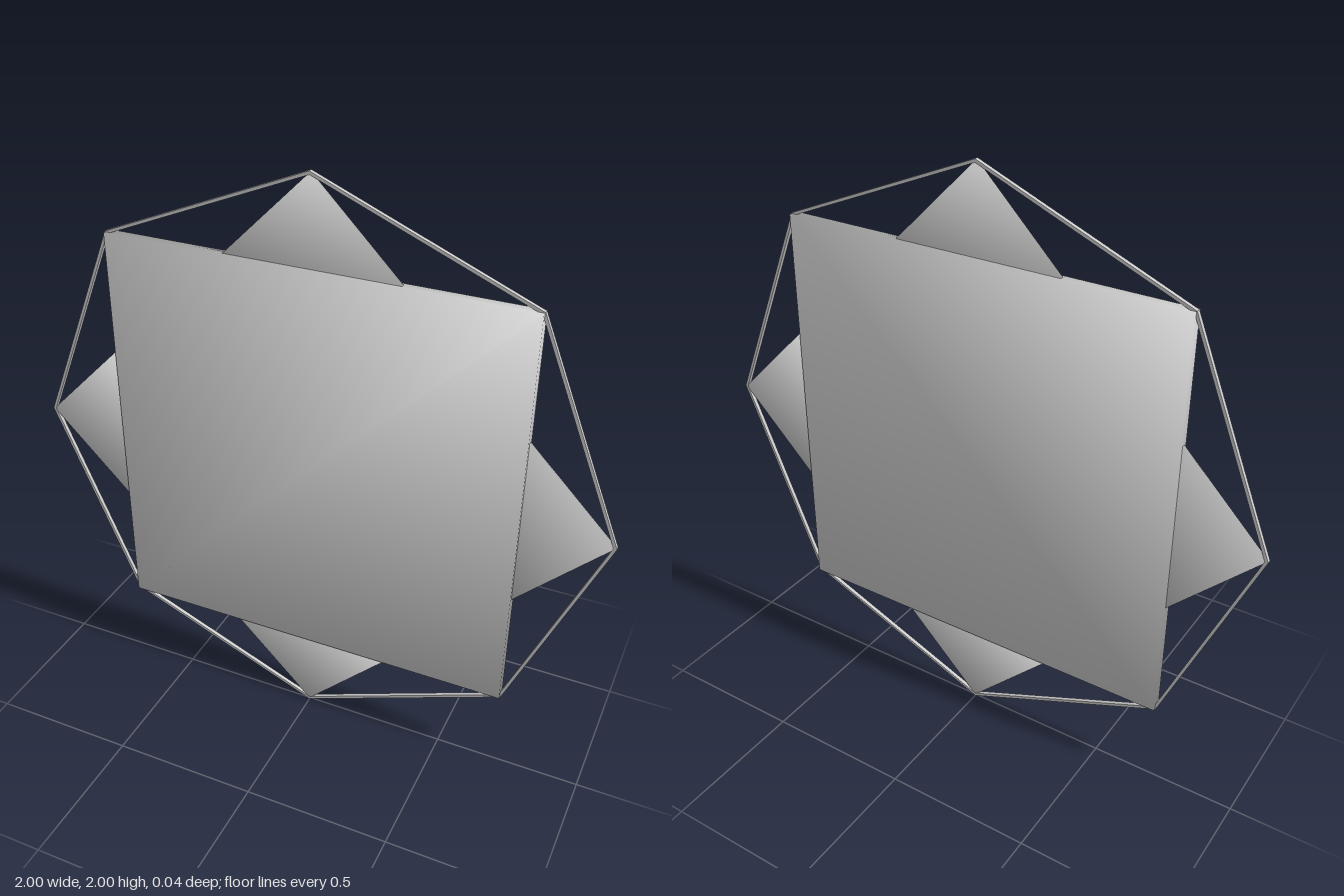
import * as THREE from 'three';

const material = new THREE.MeshStandardMaterial({ color: 0xcccccc });

// Flat slab centred on z = 0
function slab(shape, depth) {
  const geometry = new THREE.ExtrudeGeometry(shape, { depth, bevelEnabled: false });
  return geometry.translate(0, 0, -depth / 2);
}

// Slab from a counter-clockwise outline, with normals blended over the faces at each corner
function softSlab(points, depth) {
  const geometry = slab(new THREE.Shape(points), depth);
  const count = points.length;
  const corners = points.map((p, i) => {
    const a = p.clone().sub(points[(i + count - 1) % count]).normalize();
    const b = points[(i + 1) % count].clone().sub(p).normalize();
    const capWeight = (Math.PI - Math.acos(a.dot(b))) / (Math.PI / 2);
    return new THREE.Vector3(a.y + b.y, -a.x - b.x, capWeight).normalize();
  });
  const { position, normal } = geometry.attributes;
  for (let i = 0; i < position.count; i++) {
    const at = new THREE.Vector2(position.getX(i), position.getY(i));
    const n = corners[points.findIndex((p) => p.distanceTo(at) < 1e-4)];
    normal.setXYZ(i, n.x, n.y, n.z * Math.sign(position.getZ(i)));
  }
  return geometry;
}

// Regular octagon with a corner straight up
function octagon(radius) {
  return Array.from({ length: 8 }, (_, i) => {
    const angle = (i * Math.PI) / 4;
    return new THREE.Vector2(Math.cos(angle) * radius, Math.sin(angle) * radius);
  });
}

export function createModel() {
  const group = new THREE.Group();
  const add = (name, geometry) => {
    const mesh = new THREE.Mesh(geometry, material);
    mesh.name = name;
    mesh.position.y = 1;
    group.add(mesh);
    return mesh;
  };

  // Thick square plate
  const half = 0.705;
  const square = [[-1, -1], [1, -1], [1, 1], [-1, 1]]
    .map(([x, y]) => new THREE.Vector2(x * half, y * half));
  add('squarePlate', softSlab(square, 0.036));

  // Thin triangular points on the four sides of the plate
  const reach = 0.995;
  const base = half - 0.002;
  const triangle = [
    new THREE.Vector2(base - reach, base),
    new THREE.Vector2(reach - base, base),
    new THREE.Vector2(0, reach),
  ];
  const pointGeometry = softSlab(triangle, 0.012);
  ['topPoint', 'leftPoint', 'bottomPoint', 'rightPoint'].forEach((name, i) => {
    add(name, pointGeometry).rotation.z = (-i * Math.PI) / 2;
  });

  // Slim octagonal frame joining all the tips
  const ring = new THREE.Shape(octagon(1));
  ring.holes.push(new THREE.Path(octagon(0.989).reverse()));
  add('octagonFrame', slab(ring, 0.014));

  return group;
}
